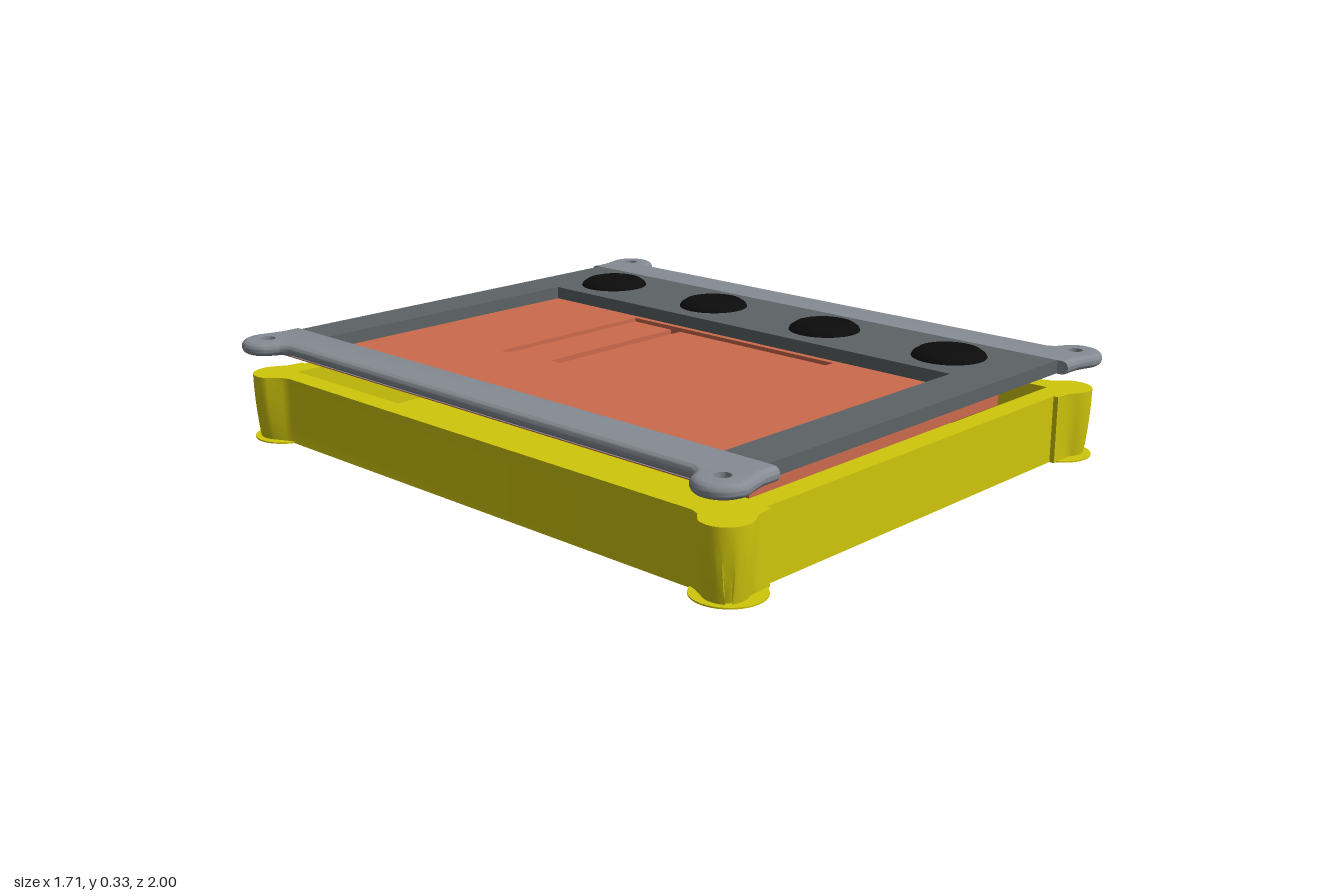
import * as THREE from 'three';
import { toCreasedNormals } from 'three/addons/utils/BufferGeometryUtils.js';

const colour = (name, hex) => {
  const m = new THREE.MeshStandardMaterial({ color: hex });
  m.name = name;
  return m;
};

// Points of an arc, angles in degrees
function arc(cx, cz, r, from, to, n = 20) {
  const pts = [];
  for (let i = 0; i <= n; i++) {
    const a = THREE.MathUtils.degToRad(from + ((to - from) * i) / n);
    pts.push([cx + r * Math.cos(a), cz + r * Math.sin(a)]);
  }
  return pts;
}

const toShape = (pts) => new THREE.Shape(pts.map((p) => new THREE.Vector2(...p)));
const rect = (x0, x1, z0, z1) => [[x0, z0], [x1, z0], [x1, z1], [x0, z1]];
const flip = (pts, sx, sz) => pts.map(([x, z]) => [x * sx, z * sz]);

// Extrudes a plan outline (x, z) downwards from the height "top"
function slab(outline, holes, top, depth, options = {}) {
  const shape = toShape(outline);
  holes.forEach((h) => shape.holes.push(toShape(h)));
  const geo = new THREE.ExtrudeGeometry(shape, { depth, bevelEnabled: false, ...options });
  geo.rotateX(Math.PI / 2);
  geo.translate(0, top, 0);
  return geo;
}

// Applies a rule to every vertex
function reshape(geo, rule) {
  const pos = geo.attributes.position;
  const v = new THREE.Vector3();
  for (let i = 0; i < pos.count; i++) {
    rule(v.fromBufferAttribute(pos, i));
    pos.setXYZ(i, v.x, v.y, v.z);
  }
  return toCreasedNormals(geo, 0.6);
}

export function createModel() {
  const model = new THREE.Group();
  const yellow = colour('yellow', 0xd0c60c);
  const orange = colour('terracotta', 0xcc6b4d);
  const grey = colour('railGrey', 0x868c94);
  const dark = colour('frameGrey', 0x5d6365);
  const black = colour('black', 0x0c0c0c);

  const add = (name, geo, mat, parent = model) => {
    const mesh = new THREE.Mesh(geo, mat);
    mesh.name = name;
    parent.add(mesh);
    return mesh;
  };

  // Open case: walls with a rounded post at each corner
  const corner = [
    [0.775, 0.82], [0.785, 0.845],
    ...arc(0.756, 0.912, 0.071, -30, 125),
    [0.69, 0.955], [0.64, 0.95], [0.64, 0.935],
  ];
  const caseOutline = [
    ...corner,
    ...flip(corner, -1, 1).reverse(),
    ...flip(corner, -1, -1),
    ...flip(corner, 1, -1).reverse(),
  ];
  const walls = slab(caseOutline, [rect(-0.71, 0.71, -0.87, 0.87)], 0.2, 0.2, { steps: 5 });
  // The posts narrow slightly towards the bottom
  add('caseWalls', reshape(walls, (v) => {
    const pull = 0.016 * (1 - v.y / 0.2) ** 2;
    if (Math.abs(v.x) > 0.79) v.x -= Math.sign(v.x) * pull;
    if (Math.abs(v.z) > 0.956) v.z -= Math.sign(v.z) * pull;
  }), yellow);
  add('caseFloor', new THREE.BoxGeometry(1.5, 0.02, 1.82).translate(0, 0.01, 0), yellow);

  // Thin round foot under each post
  for (const sx of [-1, 1]) {
    for (const sz of [-1, 1]) {
      const foot = new THREE.CylinderGeometry(0.098, 0.098, 0.004, 40);
      add('cornerFoot', foot, yellow).position.set(sx * 0.735, 0.002, sz * 0.902);
    }
  }

  // Inner panel with a shallow recess and a slot
  const panel = new THREE.Group();
  panel.name = 'panel';
  model.add(panel);
  const panelOutline = rect(-0.71, 0.335, -0.94, 0.94);
  add('panelTop', slab(panelOutline, [rect(-0.29, 0.285, -0.41, 0.405)], 0.27, 0.012), orange, panel);
  add('panelBase', slab(panelOutline, [rect(-0.24, 0.285, -0.25, -0.21)], 0.258, 0.018), orange, panel);

  // Lid frame, open on its right-hand edge where the rail closes it
  const frameOutline = [
    [-0.64, -0.94], [0.64, -0.94], [0.64, 0.94], [-0.64, 0.94],
    [-0.64, 0.8], [0.305, 0.8], [0.305, -0.8], [-0.64, -0.8],
  ];
  add('lidFrame', slab(frameOutline, [], 0.309, 0.039), dark);

  // Side rails with screw lobes
  const lobe = [0.776, 0.917];
  const railHalf = [
    [0.775, 0.81], [0.79, 0.838],
    ...arc(...lobe, 0.078, -50, 115),
    [0.7, 0.977], [0.685, 0.975], [0.64, 0.975],
  ];
  const holes = [1, -1].map((s) => arc(lobe[0], s * lobe[1], 0.022, 0, 345, 23));
  const railGeo = slab([...railHalf, ...flip(railHalf, 1, -1).reverse()], holes, 0.29, 0.002, {
    bevelEnabled: true, bevelThickness: 0.019, bevelSize: 0.02, bevelOffset: -0.02, bevelSegments: 6,
  });
  // Keep the inner edge square and the screw holes straight
  const rail = reshape(railGeo, (v) => {
    if (v.x < 0.662) v.x = 0.64;
    const dx = v.x - lobe[0];
    const dz = v.z - Math.sign(v.z) * lobe[1];
    const d = Math.hypot(dx, dz);
    if (d < 0.05) {
      v.x += dx * (0.022 / d - 1);
      v.z += dz * (0.022 / d - 1);
    }
  });
  add('leftRail', rail, grey);
  add('rightRail', rail, grey).rotation.y = Math.PI;

  // Row of four round buttons
  const profile = [
    [0, 0.26], [0.085, 0.26], [0.104, 0.267], [0.112, 0.28], [0.112, 0.305],
    [0.106, 0.317], [0.09, 0.328], [0.07, 0.333], [0, 0.334],
  ].map((p) => new THREE.Vector2(...p));
  const button = new THREE.LatheGeometry(profile, 48);
  for (let i = 0; i < 4; i++) {
    add('button', button, black).position.set(0.468, 0, -0.692 + i * 0.459);
  }

  return model;
}
